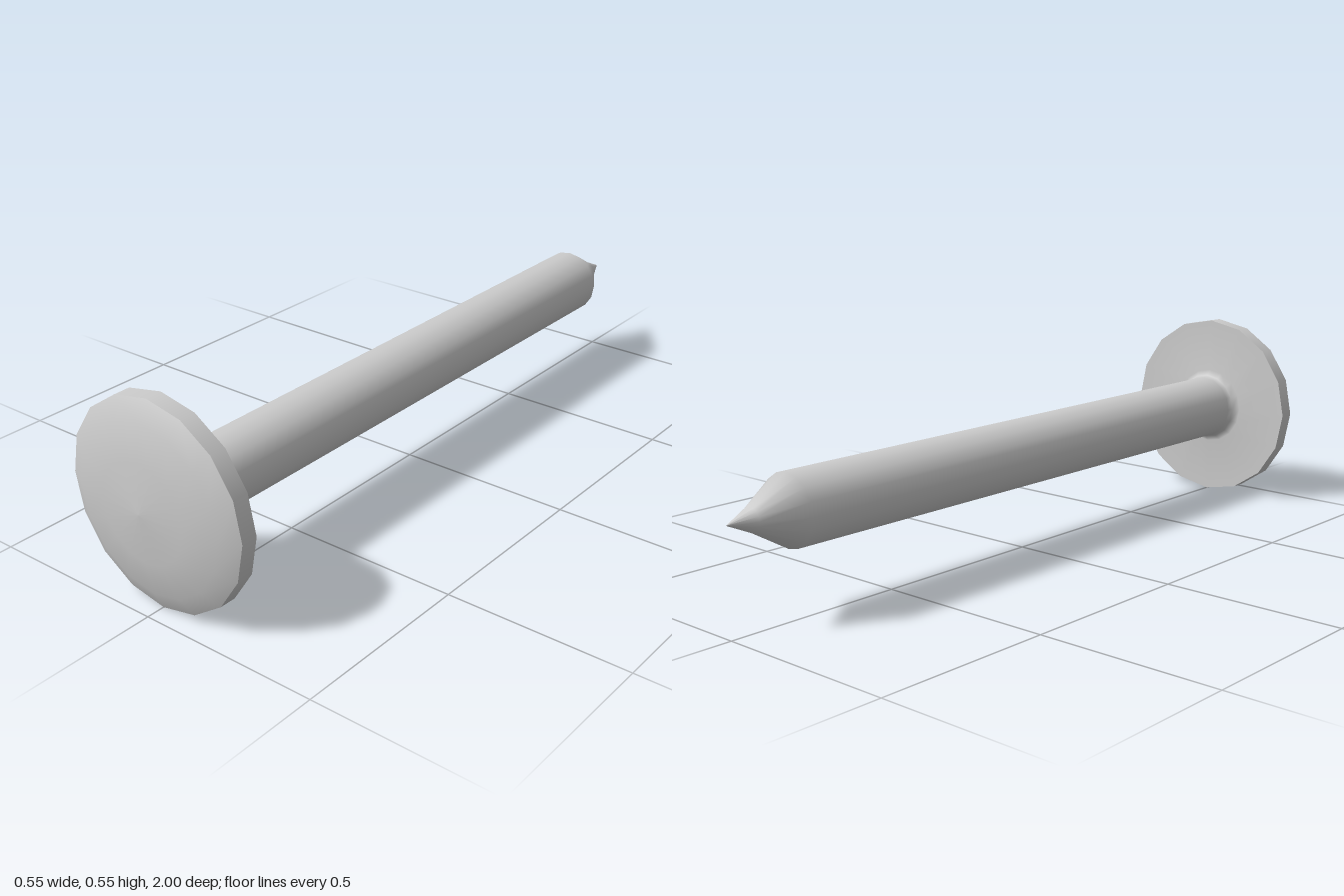
import * as THREE from 'three';

const R = 0.273; // head radius, also the height of the axis
const SIDES = 16;

export function createModel() {
  const group = new THREE.Group();
  group.name = 'nail';
  const material = new THREE.MeshStandardMaterial({ color: 0xcccccc });

  // Turns a profile of [radius, z] pairs, back to front, around the nail's axis
  function turned(name, profile) {
    const points = profile.map(([r, z]) => new THREE.Vector2(r, z));
    const geometry = new THREE.LatheGeometry(points, SIDES);
    geometry.rotateX(Math.PI / 2);
    geometry.translate(0, R, 0);
    const mesh = new THREE.Mesh(geometry, material);
    mesh.name = name;
    group.add(mesh);
  }

  // Point, shank, fillet and the flat underside of the head, smoothly joined
  turned('shank', [
    [0, -1], [0.032, -0.93], [0.093, -0.825],
    [0.093, 0.875], [0.099, 0.89], [0.115, 0.905], [R, 0.905],
  ]);

  // Straight rim of the head
  turned('headRim', [[R, 0.905], [R, 0.95]]);

  // Shallow domed face of the head
  turned('headDome', [[R, 0.95], [0.222, 0.975], [0.13, 0.992], [0, 1]]);

  return group;
}
